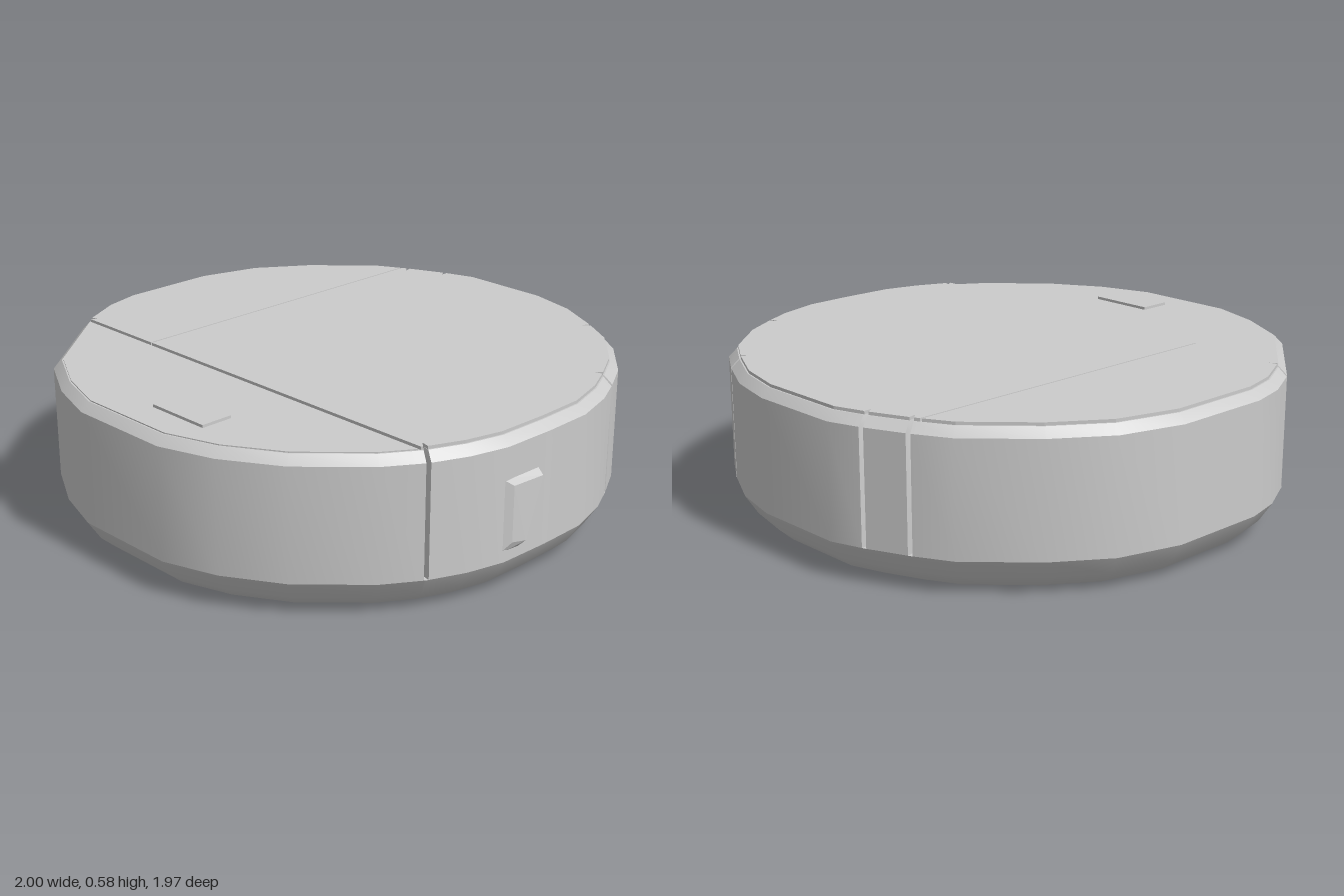
import * as THREE from 'three';
import { toCreasedNormals } from 'three/addons/utils/BufferGeometryUtils.js';
import { ConvexGeometry } from 'three/addons/geometries/ConvexGeometry.js';

const material = new THREE.MeshStandardMaterial({ color: 0xcccccc });

// Plan outline [x, z], starting at the back left; a third value marks a vertical seam
const OUTLINE = [
  [-0.6, -0.81], [-0.47, -0.88, 1], [-0.32, -0.945, 1], [-0.2, -0.985], [0.15, -0.985],
  [0.34, -0.94], [0.52, -0.85, 1], [0.65, -0.77], [0.8, -0.6], [0.875, -0.465, 1],
  [0.93, -0.35], [0.975, -0.19], [0.98, 0, 0], [0.975, 0.2], [0.94, 0.34], [0.885, 0.47, 1],
  [0.8, 0.6], [0.6, 0.8], [0.4, 0.92], [0.2, 0.985], [-0.2, 0.985], [-0.4, 0.92],
  [-0.6, 0.81], [-0.88, 0.475, 1], [-0.96, 0.32], [-0.995, 0.18], [-0.995, -0.19],
  [-0.93, -0.42], [-0.8, -0.61],
];

// Scaled outline; every seam becomes three points with the middle one pushed in
function ring(scale, depth) {
  const pts = OUTLINE.map(([x, z]) => new THREE.Vector2(x, z));
  const step = (a, b) => a.clone().add(b.clone().sub(a).setLength(0.008));
  const out = [];
  pts.forEach((p, i) => {
    if (!OUTLINE[i][2]) return out.push(p.clone());
    const prev = pts[(i + pts.length - 1) % pts.length];
    const next = pts[(i + 1) % pts.length];
    out.push(step(p, prev), p.clone().multiplyScalar(1 - depth), step(p, next));
  });
  return out.map((p) => p.multiplyScalar(scale));
}

// Wall through stacked rings [y, scale, seamDepth]
function loft(levels) {
  const rows = levels.map(([y, s, d]) => ring(s, d).map((p) => new THREE.Vector3(p.x, y, p.y)));
  const pos = [];
  const tri = (a, b, c) => {
    if (new THREE.Triangle(a, b, c).getArea() < 1e-8) return;
    for (const v of [a, b, c]) pos.push(v.x, v.y, v.z);
  };
  for (let r = 0; r < rows.length - 1; r++) {
    const lo = rows[r], hi = rows[r + 1];
    lo.forEach((a, i) => {
      const j = (i + 1) % lo.length;
      tri(a, hi[i], hi[j]);
      tri(a, hi[j], lo[j]);
    });
  }
  const g = new THREE.BufferGeometry();
  g.setAttribute('position', new THREE.Float32BufferAttribute(pos, 3));
  return toCreasedNormals(g, 0.45);
}

// Keep the part of a polygon where nx*x + nz*z <= d
function clip(poly, nx, nz, d) {
  const out = [];
  const f = (p) => nx * p.x + nz * p.y - d;
  poly.forEach((a, i) => {
    const b = poly[(i + 1) % poly.length];
    const fa = f(a), fb = f(b);
    if (fa <= 0) out.push(a);
    if ((fa < 0 && fb > 0) || (fa > 0 && fb < 0)) out.push(a.clone().lerp(b, fa / (fa - fb)));
  });
  return out;
}

const planShape = (poly) => new THREE.Shape(poly.map((p) => new THREE.Vector2(p.x, -p.y)));

// Flat slab lying on the deck between two heights
function slab(poly, y0, y1) {
  return new THREE.ExtrudeGeometry(planShape(poly), { depth: y1 - y0, bevelEnabled: false })
    .rotateX(-Math.PI / 2).translate(0, y0, 0);
}

export function createModel() {
  const group = new THREE.Group();
  const add = (name, geometry) => {
    const mesh = new THREE.Mesh(geometry, material);
    mesh.name = name;
    group.add(mesh);
    return mesh;
  };

  // Body: tapered underside, seamed wall, softened top edge
  add('underside', loft([[0, 0.875, 0], [0.015, 0.905, 0], [0.06, 0.955, 0], [0.13, 1, 0]]));
  add('sideWall', loft([[0.13, 1, 0], [0.13, 1, 0.03], [0.535, 1, 0.03], [0.566, 0.97, 0.03]]));
  add('bottomPlate', new THREE.ShapeGeometry(new THREE.Shape(ring(0.875, 0))).rotateX(Math.PI / 2));
  add('topDeck', new THREE.ShapeGeometry(planShape(ring(0.97, 0.03)))
    .rotateX(-Math.PI / 2).translate(0, 0.566, 0));

  // Top panels, divided by narrow gaps; the front one sits lower
  const top = ring(0.965, 0.03);
  const rear = clip(top, 0, 1, 0.466);
  add('mainCover', slab(clip(rear, -1, 0, 0.477), 0.56, 0.577));
  add('sideCover', slab(clip(rear, 1, 0, -0.483), 0.56, 0.577));
  add('frontCover', slab(clip(top, 0, -1, -0.472), 0.56, 0.57));

  // Button on the front panel
  const button = add('button', new THREE.BoxGeometry(0.25, 0.02, 0.12));
  button.position.set(0.125, 0.57, 0.78);

  // Shallow flap swelling out of the left wall
  const flap = [
    [1, 0.4, 0.05], [1, 0.25, 0.05], [0.997, 0.19, 0.12], [0.99, 0.2, 0.18], [0.99, 0.4, 0.18],
    [0.97, 0.43, 0.05], [0.97, 0.25, 0.045], [0.97, 0.16, 0.14], [0.965, 0.16, 0.22], [0.965, 0.43, 0.22],
  ];
  add('sideFlap', new ConvexGeometry(flap.map((p) => new THREE.Vector3(...p))));

  return group;
}
